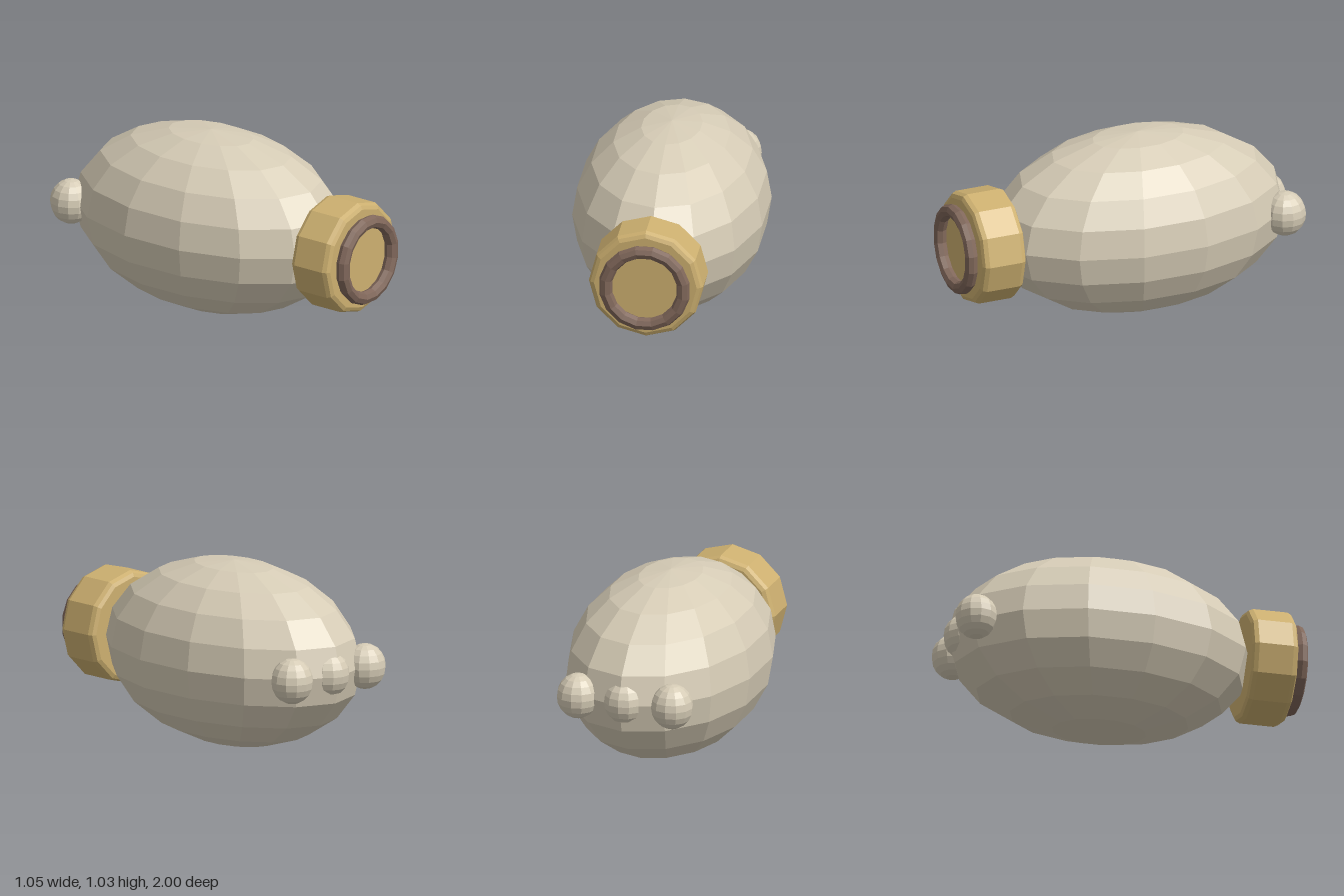
import * as THREE from 'three';

const CY = 0.517; // height of the long axis

function material(color) {
  return new THREE.MeshStandardMaterial({ color, flatShading: true });
}

export function createModel() {
  const model = new THREE.Group();
  const shell = material(0xd6ccb6);
  const gold = material(0xcdb070);
  const brown = material(0x80675a);

  function add(name, geometry, mat, x, z) {
    const mesh = new THREE.Mesh(geometry, mat);
    mesh.name = name;
    mesh.position.set(x, CY, z);
    model.add(mesh);
    return mesh;
  }

  // Faceted egg-shaped body, poles up and down, an edge line along x = 0
  const body = new THREE.SphereGeometry(1, 14, 10);
  body.rotateY(Math.PI / 2);
  body.scale(0.538, 0.514, 0.855);
  add('body', body, shell, 0, -0.125);

  // Three knobs at the back, the middle one mostly sunk into the body
  const knob = new THREE.SphereGeometry(0.117, 12, 10);
  knob.scale(1, 1.08, 1);
  for (const [name, x] of [['leftKnob', 0.273], ['middleKnob', 0], ['rightKnob', -0.273]]) {
    add(name, knob, shell, x, -0.883);
  }

  // Twelve-sided collar with bevelled rims, closed at both ends
  const profile = [
    [0, -0.129], [0.284, -0.129], [0.305, -0.119], [0.316, -0.096],
    [0.316, 0.096], [0.305, 0.119], [0.284, 0.129], [0, 0.129],
  ].map(([r, h]) => new THREE.Vector2(r, h));
  const collar = new THREE.LatheGeometry(profile, 12);
  collar.rotateX(Math.PI / 2);
  add('collar', collar, gold, 0, 0.799);

  // Ring around the mouth of the collar
  const ring = new THREE.TorusGeometry(0.217, 0.037, 8, 16);
  ring.rotateZ(Math.PI / 16);
  add('mouthRing', ring, brown, 0, 0.963);

  return model;
}
